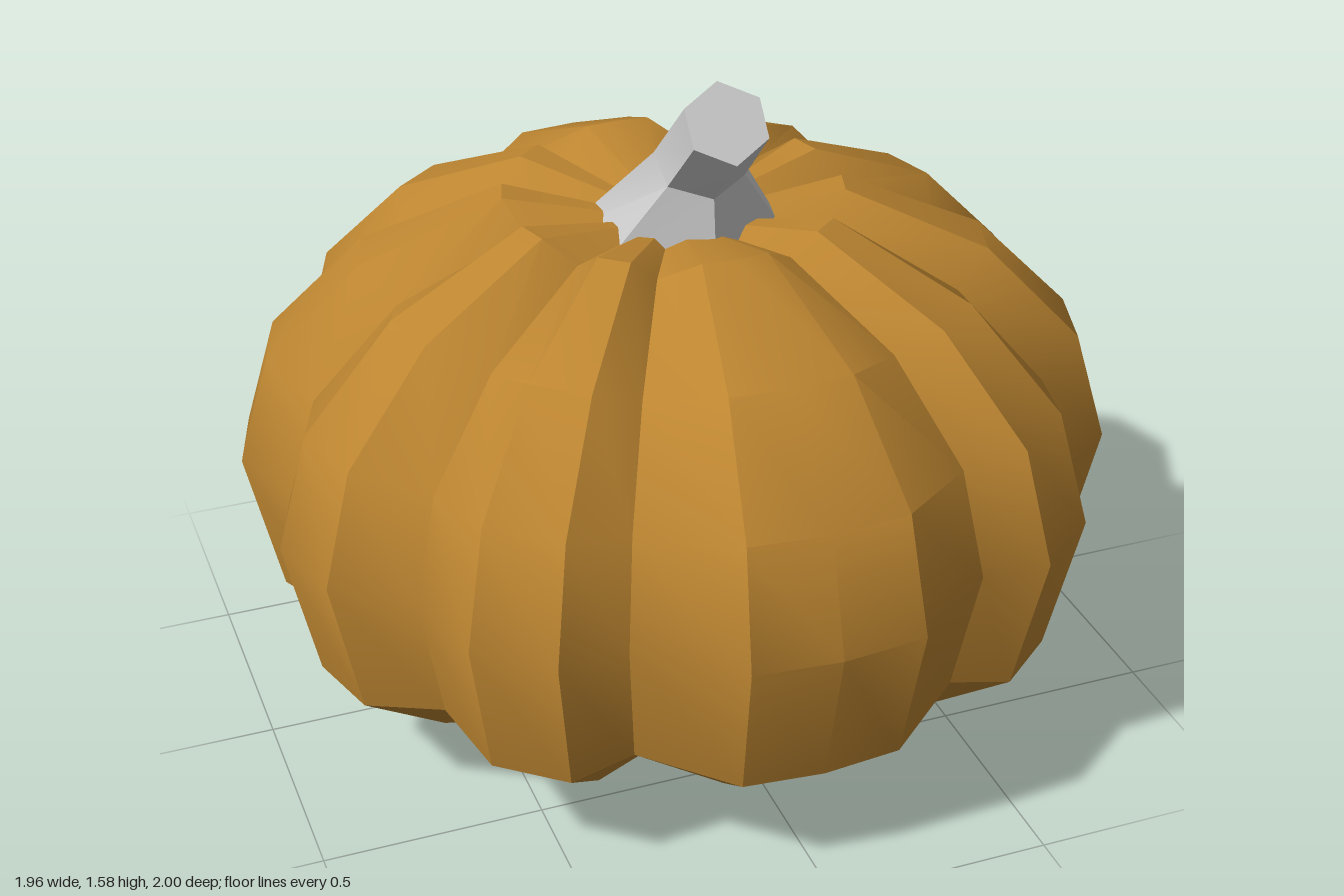
import * as THREE from 'three';
import { toCreasedNormals } from 'three/addons/utils/BufferGeometryUtils.js';

const SEGMENTS = 32;
const CREASE = THREE.MathUtils.degToRad(30);

// Ribbed body: a squashed sphere whose groove columns are pulled towards the centre
function makeBody() {
  const centreY = 0.62;
  // ring radius and height above the centre, top to bottom
  const rings = [[0, 0.54], [0.383, 0.62], [0.707, 0.48], [0.924, 0.26], [1, 0],
    [0.924, -0.34], [0.707, -0.5], [0.383, -0.62], [0, -0.565]];
  const grooves = [0, 3, 6, 10, 13];
  const geometry = new THREE.SphereGeometry(1, SEGMENTS, rings.length - 1);
  const position = geometry.attributes.position;
  for (let i = 0; i < position.count; i++) {
    const column = i % (SEGMENTS + 1);
    const [radius, height] = rings[Math.floor(i / (SEGMENTS + 1))];
    const k = column % 16;
    let angle = (column / SEGMENTS) * Math.PI * 2;
    // the front and back lobes are wider than the rest
    if (k === 6) angle -= 0.06;
    if (k === 10) angle += 0.06;
    const pull = radius > 0 && grooves.includes(k) ? 0.914 : 1;
    position.setXYZ(i, -Math.cos(angle) * radius * pull,
      centreY + height * pull, Math.sin(angle) * radius * pull);
  }
  geometry.deleteAttribute('uv');
  geometry.deleteAttribute('normal');
  return toCreasedNormals(geometry, CREASE);
}

// Bent six-sided stem: hexagonal sections given by their front and back corners
function makeStem() {
  const sections = [
    { front: [1.1, 0.22], back: [1.1, -0.27], halfWidth: 0.235 },
    { front: [1.295, 0.2], back: [1.388, 0.02], halfWidth: 0.09 },
    { front: [1.43, 0.33], back: [1.575, 0.21], halfWidth: 0.085 },
  ];
  // side factor and share of the way from front to back
  const corners = [[0, 0], [1, 0.26], [1, 0.74], [0, 1], [-1, 0.74], [-1, 0.26]];
  const points = [];
  for (const { front, back, halfWidth } of sections) {
    for (const [side, t] of corners) {
      points.push(0.02 + side * halfWidth,
        THREE.MathUtils.lerp(front[0], back[0], t),
        THREE.MathUtils.lerp(front[1], back[1], t));
    }
  }
  const faces = [];
  for (let s = 0; s < 2; s++) {
    for (let c = 0; c < 6; c++) {
      const a = s * 6 + c;
      const b = s * 6 + ((c + 1) % 6);
      faces.push(a, b, b + 6, a, b + 6, a + 6);
    }
  }
  // cut end and hidden base
  for (let c = 1; c < 5; c++) faces.push(12, 12 + c, 13 + c, 0, c + 1, c);
  const geometry = new THREE.BufferGeometry();
  geometry.setAttribute('position', new THREE.Float32BufferAttribute(points, 3));
  geometry.setIndex(faces);
  return toCreasedNormals(geometry, CREASE);
}

export function createModel() {
  const model = new THREE.Group();
  model.name = 'pumpkin';

  const body = new THREE.Mesh(makeBody(), new THREE.MeshStandardMaterial({ color: 0xbc8531 }));
  body.name = 'ribbedBody';

  const stem = new THREE.Mesh(makeStem(), new THREE.MeshStandardMaterial({ color: 0xcccccc }));
  stem.name = 'stem';

  model.add(body, stem);
  return model;
}
